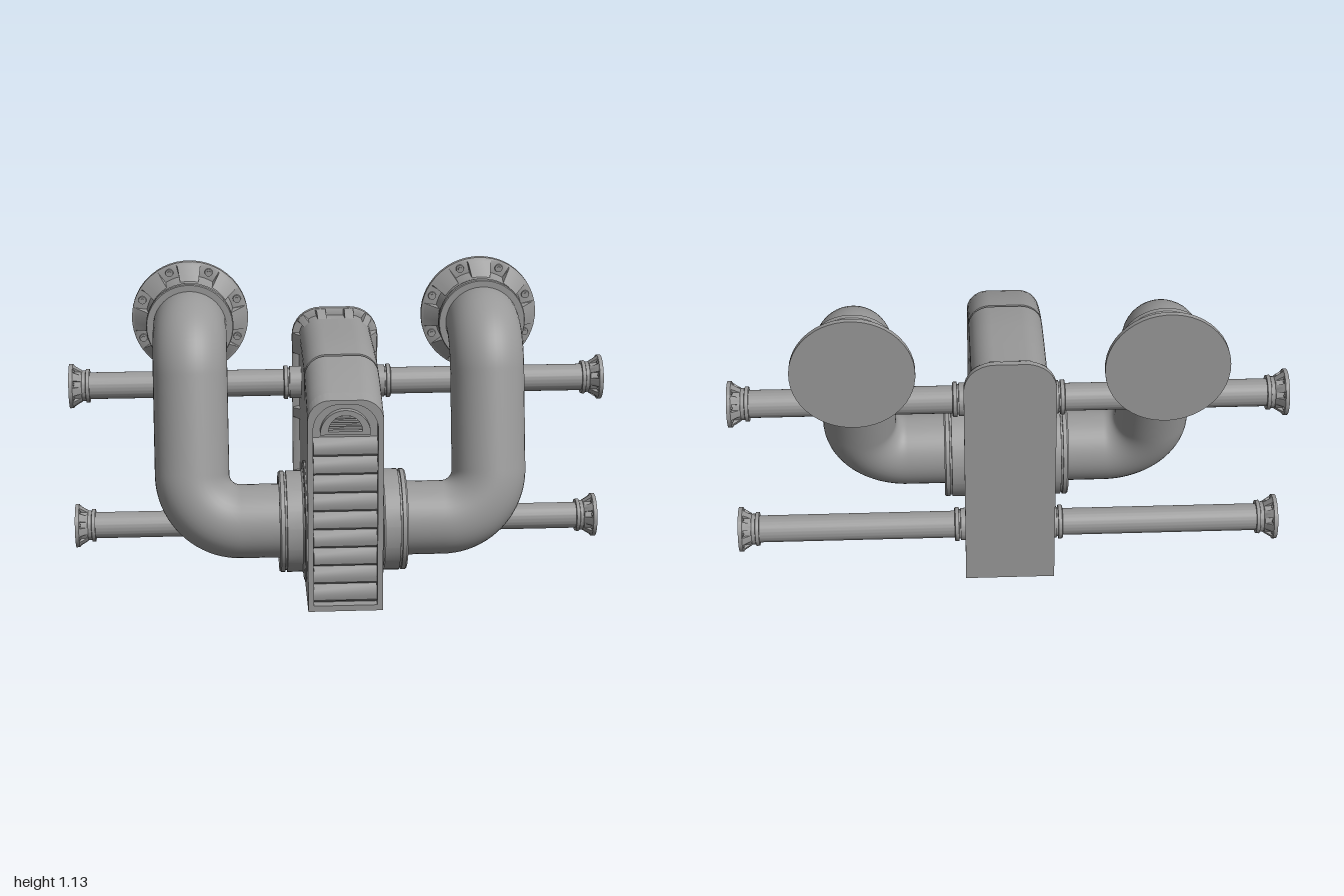
import * as THREE from 'three';
import { toCreasedNormals } from 'three/addons/utils/BufferGeometryUtils.js';

const material = new THREE.MeshStandardMaterial({ color: 0x999999 });
const rad = THREE.MathUtils.degToRad;

function add(parent, name, geometry, x = 0, y = 0, z = 0) {
  const mesh = new THREE.Mesh(geometry, material);
  mesh.name = name;
  mesh.position.set(x, y, z);
  parent.add(mesh);
}

// Skin closed rings of [x, y, z] running from front (+z) to back, with flat caps
function loft(rings, capFront) {
  const n = rings[0].length, pos = rings.flat(2), index = [];
  for (let i = 0; i < rings.length - 1; i++) {
    for (let j = 0; j < n; j++) {
      const k = (j + 1) % n, a = i * n + j, b = i * n + k, c = b + n, d = a + n;
      index.push(a, d, c, a, c, b);
    }
  }
  const last = (rings.length - 1) * n;
  for (let j = 1; j < n - 1; j++) {
    if (capFront) index.push(0, j, j + 1);
    index.push(last, last + j + 1, last + j);
  }
  const g = new THREE.BufferGeometry();
  g.setAttribute('position', new THREE.Float32BufferAttribute(pos, 3));
  g.setIndex(index);
  return toCreasedNormals(g, rad(32));
}

// Columns hold a point, an outward normal and a pocket flag; profiles are [offset, z]
function flange(columns, rib, pocket = rib) {
  const rings = rib.map((_, i) => columns.map(([x, y, nx, ny, isPocket]) => {
    const [o, z] = (isPocket ? pocket : rib)[i];
    return [x + nx * o, y + ny * o, z];
  }));
  return loft(rings, false);
}

// Eight ribs and eight pockets around a circle
const circle = [];
for (let k = 0; k < 8; k++) {
  [-12, -4, 4, 12, 13, 19.5, 25.5, 32].forEach((a, i) => {
    const t = rad(a + k * 45);
    circle.push([0, 0, Math.cos(t), Math.sin(t), i > 3]);
  });
}

// Round washers with a hexagonal head
function boltCircle(parent, count, radius, z, size, offset = 0) {
  for (let k = 0; k < count; k++) {
    const t = (k + offset) / count * Math.PI * 2, x = Math.cos(t) * radius, y = Math.sin(t) * radius;
    add(parent, 'washer', new THREE.CylinderGeometry(size * 0.9, size, size * 0.6, 12).rotateX(Math.PI / 2), x, y, z);
    add(parent, 'bolt', new THREE.CylinderGeometry(size * 0.5, size * 0.55, size, 6).rotateX(Math.PI / 2), x, y, z);
  }
}

// Body cross-section: flat base and sides, rounded top corners; the inset starts above the pipe mount
function section(h, inset, z) {
  const w = 0.135 - inset, r = 0.08, half = [[0.135, 0], [0.135, 0.3], [w, 0.31]];
  for (let a = 0; a <= 90; a += 10) {
    half.push([w - r + r * Math.cos(rad(a)), h - inset - r + r * Math.sin(rad(a))]);
  }
  const left = half.map(([x, y]) => [-x, y]).reverse();
  return [...half, ...left].map(([x, y]) => [x, y, z]);
}

// Rounded-top panel outline
function panel(w, y0, y1, r) {
  const s = new THREE.Shape();
  s.moveTo(-w, y0).lineTo(w, y0).lineTo(w, y1 - r);
  s.absarc(w - r, y1 - r, r, 0, Math.PI / 2);
  s.absarc(-w + r, y1 - r, r, Math.PI / 2, Math.PI);
  s.closePath();
  return s;
}

function buildBody(root) {
  const body = new THREE.Group();
  body.name = 'body';
  root.add(body);
  const stations = [[0.325, 0.822], [0.28, 0.841], [0.22, 0.862], [0.16, 0.88], [0.112, 0.891], [0.111, 0.891, 0.008],
    [0.101, 0.893, 0.008], [0.1, 0.893], [0.04, 0.903], [-0.06, 0.91], [-0.18, 0.912], [-0.35, 0.912]];
  add(body, 'casing', loft(stations.map(([z, h, inset = 0]) => section(h, inset, z)), true));

  // Front frame, its top edge following the roof slope
  const frame = panel(0.135, 0, 0.805, 0.08);
  frame.holes.push(panel(0.115, 0.022, 0.79, 0.095));
  const fg = new THREE.ExtrudeGeometry(frame, { depth: 0.035, bevelEnabled: false, curveSegments: 9 });
  const p = fg.attributes.position;
  for (let i = 0; i < p.count; i++) {
    if (p.getY(i) > 0.7 && p.getZ(i) < 0.01) p.setY(i, p.getY(i) + 0.017);
  }
  add(body, 'frontFrame', toCreasedNormals(fg, rad(32)), 0, 0, 0.325);

  // Rounded louvers
  const slat = new THREE.Shape([[0, 0], [0.016, 0.003], [0.025, 0.012], [0.028, 0.03], [0.025, 0.05], [0.012, 0.066], [0, 0.07]]
    .map(([x, y]) => new THREE.Vector2(x, y)));
  for (let i = 0; i < 9; i++) {
    const g = new THREE.ExtrudeGeometry(slat, { depth: 0.228, bevelEnabled: false });
    g.translate(0, 0, -0.114).rotateY(-Math.PI / 2);
    add(body, 'louver', toCreasedNormals(g, rad(35)), 0, 0.028 + i * 0.07, 0.325);
  }

  // Arched vent above the louvers
  const arch = new THREE.Shape();
  arch.absarc(0, 0, 0.09, 0, Math.PI);
  arch.closePath();
  const hole = new THREE.Path();
  hole.moveTo(-0.06, 0.012).lineTo(0.06, 0.012);
  hole.absarc(0, 0.012, 0.06, 0, Math.PI);
  arch.holes.push(hole);
  const archGeometry = new THREE.ExtrudeGeometry(arch, { depth: 0.025, bevelEnabled: false, curveSegments: 20 });
  add(body, 'ventArch', toCreasedNormals(archGeometry, rad(32)), 0, 0.674, 0.325);
  for (let i = 0; i < 4; i++) {
    const y = 0.006 + i * 0.014;
    add(body, 'ventSlat', new THREE.BoxGeometry(2 * Math.sqrt(0.06 ** 2 - y * y), 0.007, 0.016), 0, 0.686 + y, 0.332);
  }

  // Ribbed rear flange: straight side, rounded corner, then mirrored
  const side = [[0], [0.04], [0.046, 1], [0.25, 1], [0.256], [0.288], [0.294, 1], [0.506, 1], [0.512], [0.548], [0.554, 1], [0.765, 1], [0.77], [0.81]]
    .map(([y, pocket]) => [0.135, y, 1, 0, !!pocket]);
  for (const [a, pocket] of [[0], [8], [11, 1], [22, 1], [34, 1], [37], [45], [53], [56, 1], [68, 1], [79, 1], [82], [90]]) {
    const c = Math.cos(rad(a)), s = Math.sin(rad(a));
    side.push([0.055 + 0.08 * c, 0.832 + 0.08 * s, c, s, !!pocket]);
  }
  side.push([0.036, 0.912, 0, 1, false], [0.032, 0.912, 0, 1, true]);
  const columns = [...side, ...side.map(([x, y, nx, ny, f]) => [-x, y, -nx, ny, f]).reverse()];
  add(body, 'rearFlange', flange(columns,
    [[0, -0.29], [0.024, -0.327], [0.026, -0.337], [0.028, -0.339], [0.028, -0.36]],
    [[0, -0.29], [0.001, -0.335], [0.024, -0.337], [0.028, -0.339], [0.028, -0.36]]));
}

// Straight stretches joined by circular bends
function bentPath(points, radius) {
  const path = new THREE.CurvePath();
  let from = points[0];
  for (let i = 1; i < points.length - 1; i++) {
    const d0 = points[i].clone().sub(points[i - 1]).normalize();
    const d1 = points[i + 1].clone().sub(points[i]).normalize();
    const angle = d0.angleTo(d1), t = radius * Math.tan(angle / 2), h = radius * 4 / 3 * Math.tan(angle / 4);
    const a = points[i].clone().addScaledVector(d0, -t), b = points[i].clone().addScaledVector(d1, t);
    path.add(new THREE.LineCurve3(from, a));
    path.add(new THREE.CubicBezierCurve3(a, a.clone().addScaledVector(d0, h), b.clone().addScaledVector(d1, -h), b));
    from = b;
  }
  path.add(new THREE.LineCurve3(from, points[points.length - 1]));
  return path;
}

function buildLargePipe(root, s) {
  const group = new THREE.Group();
  group.name = s > 0 ? 'leftLargePipe' : 'rightLargePipe';
  root.add(group);
  const path = bentPath([[0.1, 0.26, 0.113], [0.5475, 0.26, 0.113], [0.5475, 0.91, -0.078], [0.5475, 0.91, -0.34]]
    .map(([x, y, z]) => new THREE.Vector3(s * x, y, z)), 0.175);
  add(group, 'pipe', new THREE.TubeGeometry(path, 90, 0.1365, 40));

  // Stepped mount with a ring of bolts on the body side
  const mount = new THREE.Group();
  mount.name = 'bodyMount';
  mount.position.set(0, 0.257, 0.115);
  mount.rotation.y = -s * Math.PI / 2;
  group.add(mount);
  add(mount, 'mountRing', flange(circle, [[0.224, -0.13], [0.224, -0.139], [0.214, -0.143], [0.193, -0.143], [0.187, -0.149],
    [0.187, -0.205], [0.18, -0.206], [0.18, -0.212], [0.187, -0.213], [0.187, -0.227], [0.182, -0.233],
    [0.177, -0.233], [0.174, -0.224], [0.13, -0.224]]));
  boltCircle(mount, 16, 0.161, -0.226, 0.014);

  // Pocketed wall flange
  const end = new THREE.Group();
  end.name = 'wallFlange';
  end.position.set(s * 0.5475, 0.91, 0);
  group.add(end);
  const neck = [[0.13, -0.22], [0.16, -0.22], [0.163, -0.224], [0.163, -0.244], [0.16, -0.247], [0.153, -0.247], [0.153, -0.26], [0.158, -0.263], [0.158, -0.285]];
  const lip = [[0.213, -0.337], [0.219, -0.34], [0.219, -0.36]];
  add(end, 'flange', flange(circle, [...neck, [0.207, -0.333], ...lip], [...neck, [0.166, -0.336], ...lip]));
  boltCircle(end, 8, 0.192, -0.334, 0.016, 0.5);
}

function buildSmallPipe(root, s, y) {
  const group = new THREE.Group();
  group.name = (s > 0 ? 'left' : 'right') + (y > 0.4 ? 'UpperPipe' : 'LowerPipe');
  group.position.set(0, y, -0.2);
  group.rotation.y = -s * Math.PI / 2;
  root.add(group);
  add(group, 'pipe', flange(circle, [[0.05, -0.1], [0.05, -0.95]]));
  // Paired collar beside the body
  add(group, 'bodyCollar', flange(circle, [[0.06, -0.13], [0.06, -0.178], [0.055, -0.179], [0.055, -0.184],
    [0.063, -0.185], [0.063, -0.198], [0.06, -0.201], [0.045, -0.201]]));
  // Pocketed end flange
  const neck = [[0.045, -0.925], [0.062, -0.925], [0.063, -0.938], [0.057, -0.94], [0.057, -0.953], [0.06, -0.955]];
  const lip = [[0.079, -0.984], [0.083, -0.986], [0.083, -1]];
  add(group, 'endFlange', flange(circle, [...neck, [0.076, -0.981], ...lip], [...neck, [0.062, -0.983], ...lip]));
  boltCircle(group, 8, 0.071, -0.982, 0.006, 0.5);
}

export function createModel() {
  const root = new THREE.Group();
  root.name = 'pipeUnit';
  buildBody(root);
  for (const s of [1, -1]) {
    buildLargePipe(root, s);
    for (const y of [0.693, 0.13]) buildSmallPipe(root, s, y);
  }
  return root;
}
